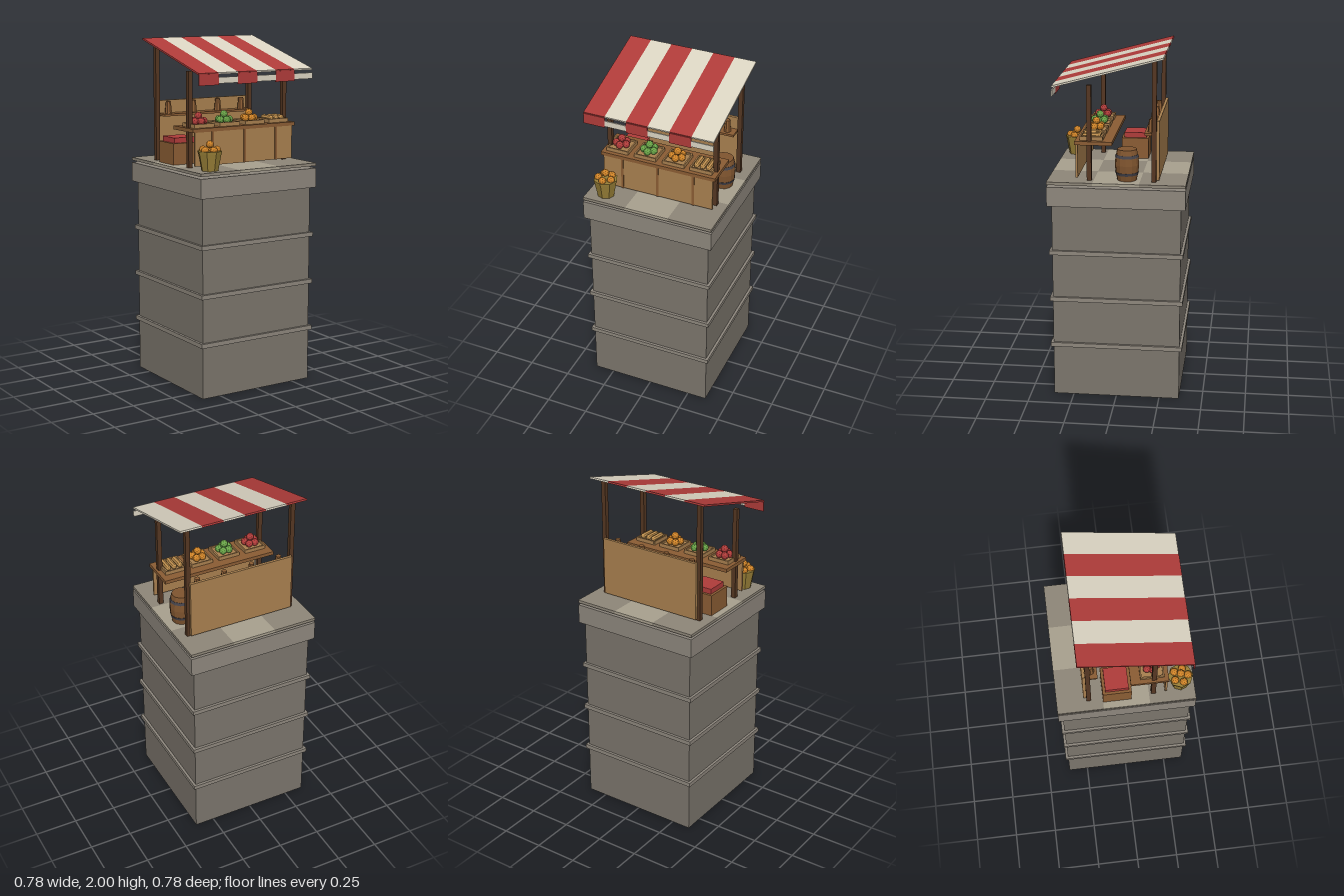
import * as THREE from 'three';

const mats = {};
const mat = (color) => (mats[color] ??= new THREE.MeshStandardMaterial({ color, flatShading: true }));
const STONE = 0x7b756c, TRIM = 0x8e877d, TILE = 0x8f8779, TILE_LIGHT = 0xa9a18f;
const DARK = 0x553722, WOOD = 0x8b5d34, PLANK = 0xa9804f, WICKER = 0x9a8138;
const RED = 0xb03c3a, CREAM = 0xdcd5c3, GREEN = 0x6aa548, ORANGE = 0xd08428, IRON = 0x45434a, CRUST = 0xc0904e;

export function createModel() {
  const model = new THREE.Group();

  const add = (name, geometry, color, x, y, z, parent = model) => {
    const mesh = new THREE.Mesh(geometry, mat(color));
    mesh.name = name;
    mesh.position.set(x, y, z);
    parent.add(mesh);
    return mesh;
  };
  // Box given by its centre in x and z and its bottom and top heights
  const box = (name, color, x, z, w, d, y0, y1, parent = model) =>
    add(name, new THREE.BoxGeometry(w, y1 - y0, d), color, x, (y0 + y1) / 2, z, parent);
  const group = (name, x = 0, y = 0, z = 0) => {
    const g = new THREE.Group();
    g.name = name;
    g.position.set(x, y, z);
    model.add(g);
    return g;
  };
  // Ring of five fruits with one on top
  const fruitGeo = new THREE.IcosahedronGeometry(0.022, 1);
  const fruitPile = (color, x, y, z, ring) => {
    const pile = group('fruitPile', x, y, z);
    for (let i = 0; i < 5; i++) {
      const a = (i / 5) * Math.PI * 2;
      add('fruit', fruitGeo, color, Math.sin(a) * ring, 0.02, Math.cos(a) * ring, pile);
    }
    add('topFruit', fruitGeo, color, 0, 0.05, 0, pile);
  };

  // Stone tower with bands and a cap
  box('tower', STONE, 0, 0, 0.73, 0.73, 0, 1.15);
  for (const y of [0.3, 0.58, 0.86]) box('towerBand', TRIM, 0, 0, 0.76, 0.76, y, y + 0.025);
  box('towerCap', TRIM, 0, 0, 0.78, 0.78, 1.15, 1.262);

  // Checkered paving
  for (let i = -1; i <= 1; i++)
    for (let j = -1; j <= 1; j++)
      box('pavingTile', (i + j) % 2 ? TILE_LIGHT : TILE, i * 0.26, j * 0.26, 0.26, 0.26, 1.275, 1.292);

  // Posts
  for (const s of [-1, 1]) {
    box('frontPost', DARK, s * 0.32, 0.155, 0.026, 0.026, 1.29, 1.833);
    box('backPost', DARK, s * 0.32, -0.208, 0.026, 0.026, 1.29, 1.975);
  }

  // Striped awning with a hanging valance
  const stripe = 0.76 / 6, rise = 0.165, run = 0.614;
  for (let i = 0; i < 6; i++) {
    const x = -0.38 + stripe * (i + 0.5), red = i % 2 === 0, color = red ? RED : CREAM;
    const cloth = add('awningStripe', new THREE.BoxGeometry(stripe, 0.01, Math.hypot(rise, run)),
      color, x, 1.912, 0.046);
    cloth.rotation.x = Math.atan2(rise, run);
    box('valance', color, x, 0.353, stripe, 0.007, red ? 1.767 : 1.775, red ? 1.828 : 1.809);
  }

  // Back wall with a shelf of jars
  box('backWall', PLANK, 0, -0.229, 0.63, 0.016, 1.3, 1.638);
  box('wallShelf', WOOD, 0, -0.187, 0.6, 0.072, 1.55, 1.563);
  const jarGeo = new THREE.CylinderGeometry(0.015, 0.022, 0.07, 8);
  const columns = [-0.255, -0.085, 0.085, 0.25];
  for (const x of columns) add('jar', jarGeo, WOOD, x, 1.598, -0.187);

  // Counter
  box('counterTop', WOOD, 0, 0.13, 0.69, 0.21, 1.497, 1.518);
  box('counterFront', PLANK, 0, 0.225, 0.66, 0.012, 1.307, 1.497);
  for (const x of [-0.215, 0, 0.215]) box('counterBatten', WOOD, x, 0.231, 0.014, 0.008, 1.307, 1.497);

  // Trays of goods
  const goods = [RED, GREEN, ORANGE];
  columns.forEach((x, i) => {
    const tray = group('tray', x, 0, 0.145);
    box('trayBase', PLANK, 0, 0, 0.13, 0.13, 1.518, 1.53, tray);
    for (const s of [-1, 1]) {
      box('traySide', PLANK, s * 0.062, 0, 0.008, 0.13, 1.518, 1.54, tray);
      box('trayEnd', PLANK, 0, s * 0.062, 0.116, 0.008, 1.518, 1.54, tray);
    }
    if (i < 3) return fruitPile(goods[i], x, 1.53, 0.145, 0.031);
    for (const dx of [-0.036, 0, 0.036]) {
      const loaf = add('loaf', new THREE.CapsuleGeometry(0.016, 0.07, 3, 8), CRUST, dx, 1.543, 0, tray);
      loaf.rotation.x = Math.PI / 2;
    }
  });

  // Basket of oranges
  add('basket', new THREE.CylinderGeometry(0.068, 0.048, 0.105, 8), WICKER, -0.283, 1.3445, 0.31);
  add('basketRim', new THREE.CylinderGeometry(0.07, 0.068, 0.014, 8), WICKER, -0.283, 1.395, 0.31);
  fruitPile(ORANGE, -0.283, 1.388, 0.31, 0.041);

  // Barrel with iron hoops
  const barrel = group('barrel', 0.285, 1.292, -0.053);
  const profile = [[0, 0], [0.055, 0], [0.065, 0.05], [0.068, 0.09], [0.065, 0.13], [0.055, 0.178], [0, 0.178]];
  add('barrelBody', new THREE.LatheGeometry(profile.map(([r, y]) => new THREE.Vector2(r, y)), 12),
    0x80552f, 0, 0, 0, barrel);
  for (const [y, r0, r1] of [[0.04, 0.0625, 0.067], [0.14, 0.067, 0.0625]])
    add('barrelHoop', new THREE.CylinderGeometry(r1, r0, 0.016, 12), IRON, 0, y, 0, barrel);

  // Crate with a folded red cloth
  box('crate', WOOD, -0.27, -0.05, 0.16, 0.16, 1.292, 1.415);
  box('crateCloth', RED, -0.27, -0.05, 0.13, 0.13, 1.415, 1.445);

  return model;
}
